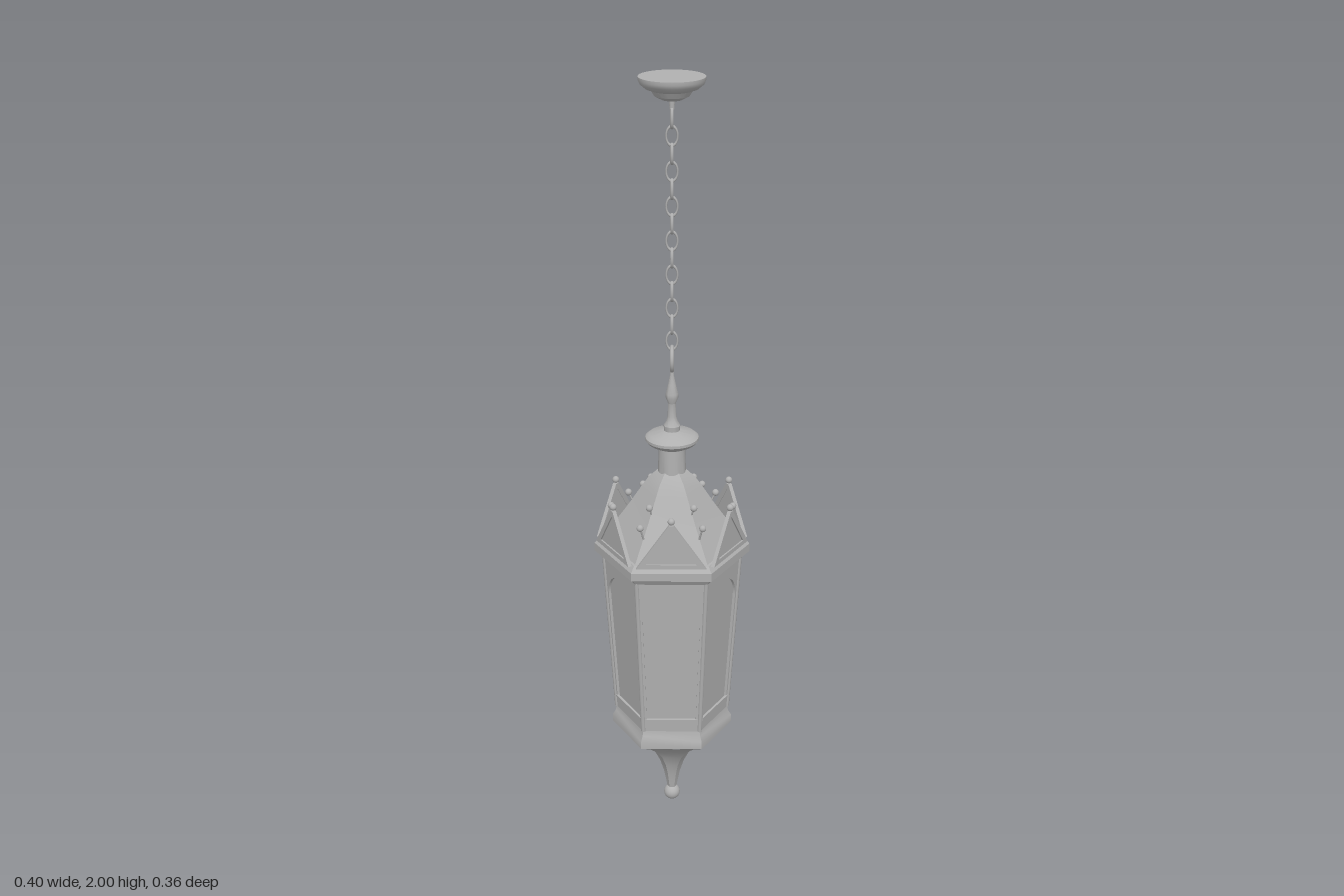
import * as THREE from 'three';
import { toCreasedNormals } from 'three/addons/utils/BufferGeometryUtils.js';

const metal = new THREE.MeshStandardMaterial({ color: 0xb0b0b0 });
metal.name = 'grey metal';

function add(parent, name, geometry, x = 0, y = 0, z = 0) {
  const mesh = new THREE.Mesh(geometry, metal);
  mesh.name = name;
  mesh.position.set(x, y, z);
  parent.add(mesh);
  return mesh;
}

// Turned profile from [radius, height] pairs; six sides put a corner on +x
function turned(points, sides) {
  const profile = points.map(([r, y]) => new THREE.Vector2(r, y));
  return toCreasedNormals(new THREE.LatheGeometry(profile, sides, Math.PI / 2), 0.5);
}

function plate(shape, depth) {
  return new THREE.ExtrudeGeometry(shape, { depth, bevelEnabled: false, curveSegments: 20 });
}

function polygon(points, Type = THREE.Shape) {
  return new Type(points.map(([x, y]) => new THREE.Vector2(x, y)));
}

export function createModel() {
  const model = new THREE.Group();
  model.name = 'hanging lantern';
  const ball = new THREE.SphereGeometry(0.009, 14, 10);
  const stem = new THREE.CylinderGeometry(0.002, 0.003, 0.04, 6);

  // Concave bottom with its drop
  add(model, 'bottomDrop', new THREE.SphereGeometry(0.022, 20, 14), 0, 0.022);
  add(model, 'bottomCone', turned([
    [0, 0.04], [0.013, 0.042], [0.016, 0.06], [0.022, 0.09], [0.033, 0.125],
    [0.052, 0.16], [0.08, 0.193], [0.115, 0.222], [0.15, 0.243]], 6));
  add(model, 'baseBand', turned([
    [0.148, 0.242], [0.161, 0.25], [0.161, 0.272], [0.153, 0.285], [0.15, 0.303], [0, 0.303]], 6));

  // Panes, rim and roof
  add(model, 'panes', turned([[0.143, 0.3], [0.171, 0.757]], 6));
  add(model, 'rim', turned([
    [0, 0.752], [0.182, 0.752], [0.19, 0.764], [0.202, 0.77], [0.202, 0.792], [0.188, 0.808], [0.17, 0.81]], 6));
  add(model, 'roof', turned([
    [0.186, 0.803], [0.15, 0.852], [0.115, 0.9], [0.08, 0.953], [0.06, 0.982], [0.036, 1.004], [0, 1.004]], 6));

  // Arched frame outline, in the plane of one leaning side
  const frame = polygon([[-0.075, 0], [0.075, 0], [0.089, 0.455], [-0.089, 0.455]]);
  const opening = polygon([[-0.064, 0.03], [0.064, 0.03], [0.074, 0.35]], THREE.Path);
  opening.absellipse(0, 0.35, 0.074, 0.072, 0, Math.PI, false);
  opening.closePath();
  frame.holes.push(opening);
  const frameGeometry = plate(frame, 0.007);

  // Pointed gable with an open border and a set-in panel
  const gable = polygon([[-0.088, 0], [0.088, 0], [0.006, 0.12], [-0.006, 0.12]]);
  gable.holes.push(polygon([[-0.064, 0.012], [0.064, 0.012], [0, 0.105]], THREE.Path));
  const gableGeometry = plate(gable, 0.01);
  const panelGeometry = plate(polygon([[-0.066, 0.01], [0.066, 0.01], [0, 0.107]]), 0.005);

  for (let i = 0; i < 6; i++) {
    const side = new THREE.Group();
    side.name = 'side' + (i + 1);
    side.rotation.y = i * Math.PI / 3;
    model.add(side);

    const leaning = new THREE.Group();
    leaning.name = 'archedSide';
    leaning.position.set(0, 0.3, 0.13);
    leaning.rotation.x = Math.atan2(0.024, 0.455);
    side.add(leaning);
    add(leaning, 'archedFrame', frameGeometry, 0, 0, -0.006);
    add(leaning, 'sill', new THREE.BoxGeometry(0.138, 0.008, 0.006), 0, 0.034, 0);

    add(side, 'gable', gableGeometry, 0, 0.805, 0.166);
    add(side, 'gablePanel', panelGeometry, 0, 0.805, 0.167);
    add(side, 'gableBall', ball, 0, 0.935, 0.171);

    // Corner post and ridge balls, built along +x
    const corner = new THREE.Group();
    corner.name = 'corner' + (i + 1);
    corner.rotation.y = i * Math.PI / 3;
    model.add(corner);
    const post = add(corner, 'cornerPost', new THREE.CylinderGeometry(0.006, 0.006, 0.457, 8), 0.163, 0.528);
    post.rotation.z = -Math.atan2(0.028, 0.455);
    for (const [x, y] of [[0.112, 0.938], [0.157, 0.9]]) {
      add(corner, 'ridgeStem', stem, x - 0.008, y - 0.018).rotation.z = -0.4;
      add(corner, 'ridgeBall', ball, x, y);
    }
  }

  // Neck, cap and spire
  add(model, 'neckAndCap', turned([
    [0.036, 0.99], [0.034, 1.065], [0.045, 1.07], [0.06, 1.078], [0.068, 1.087],
    [0.068, 1.094], [0.058, 1.102], [0.03, 1.108], [0.02, 1.112], [0, 1.112]], 32));
  add(model, 'spire', turned([
    [0.02, 1.108], [0.021, 1.125], [0.014, 1.137], [0.011, 1.15], [0.01, 1.185],
    [0.016, 1.2], [0.016, 1.21], [0.01, 1.235], [0.005, 1.26], [0.004, 1.275], [0, 1.276]], 20));

  // Hanging ring and chain, every other link turned a quarter
  add(model, 'hangingRing', new THREE.TorusGeometry(0.03, 0.005, 10, 32), 0, 1.303).rotation.y = Math.PI / 2;
  const link = new THREE.TorusGeometry(0.023, 0.004, 8, 20);
  link.scale(0.6, 1, 1);
  for (let i = 0; i < 14; i++) {
    add(model, 'chainLink', link, 0, 1.35 + i * 0.0425).rotation.y = (i % 2) * Math.PI / 2;
  }

  // Ceiling mount
  add(model, 'ceilingMount', turned([
    [0, 1.922], [0.006, 1.923], [0.007, 1.943], [0.025, 1.946], [0.042, 1.955], [0.05, 1.968],
    [0.064, 1.973], [0.076, 1.983], [0.08, 1.992], [0.08, 2], [0, 2]], 40));

  return model;
}
